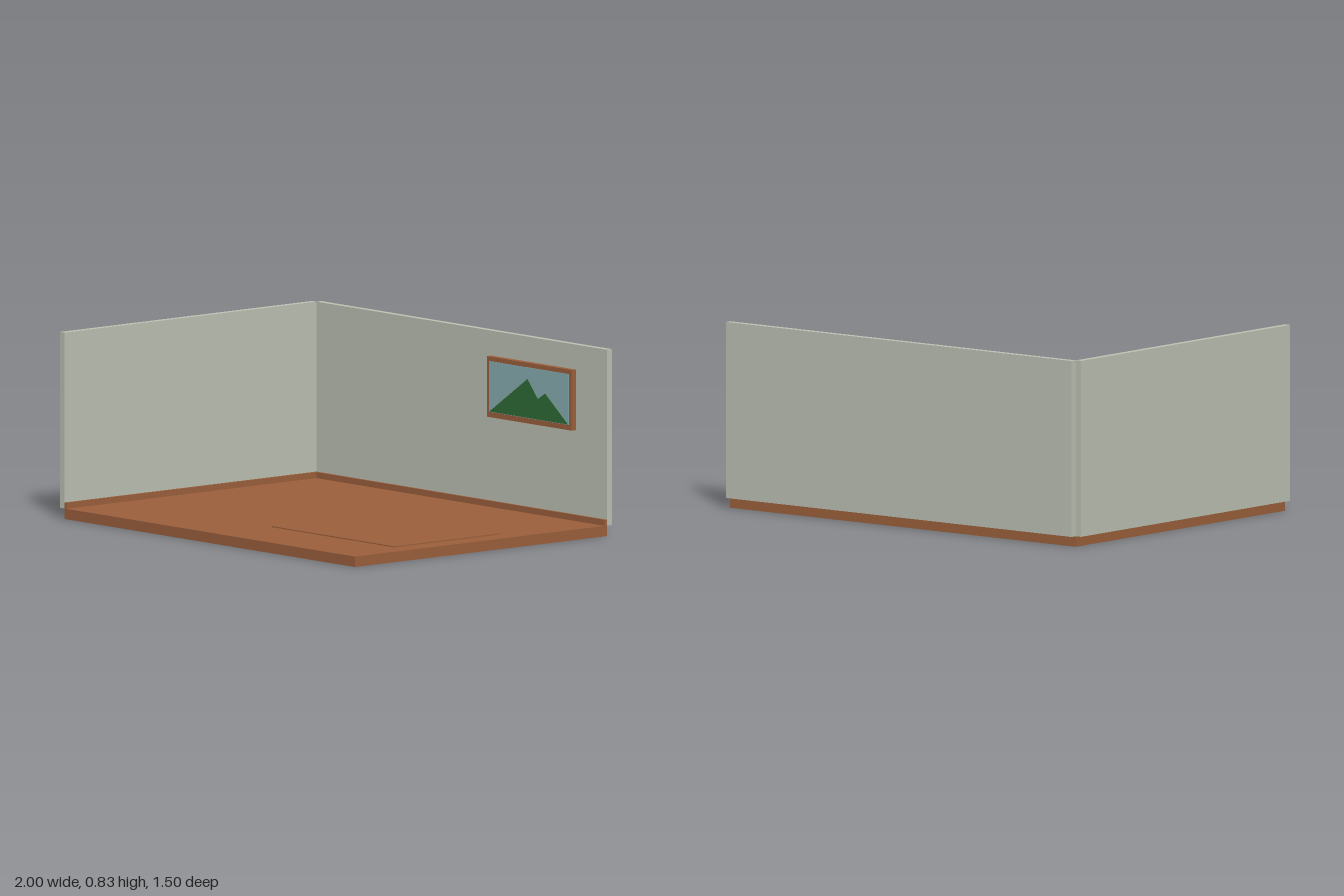
import * as THREE from 'three';

const material = (name, color) => {
  const m = new THREE.MeshStandardMaterial({ color });
  m.name = name;
  return m;
};

export function createModel() {
  const room = new THREE.Group();
  room.name = 'room';
  const wood = material('wood', 0x9b5f3b);
  const plaster = material('plaster', 0xbcc0b2);
  const sky = material('sky', 0x87adb1);
  const green = material('mountain green', 0x2e6b36);

  // Box given by its minimum and maximum on each axis
  const box = (name, mat, [x0, x1], [y0, y1], [z0, z1], parent = room) => {
    const mesh = new THREE.Mesh(new THREE.BoxGeometry(x1 - x0, y1 - y0, z1 - z0), mat);
    mesh.position.set((x0 + x1) / 2, (y0 + y1) / 2, (z0 + z1) / 2);
    mesh.name = name;
    parent.add(mesh);
  };

  // Floor with a thin raised mat
  box('floor', wood, [-0.97, 1], [0, 0.047], [-0.722, 0.75]);
  box('floorMat', wood, [0.07, 0.9], [0.047, 0.052], [-0.18, 0.433]);

  // Two walls and their baseboards
  const wallY = [0.047, 0.834];
  const baseY = [0.047, 0.074];
  box('sideWall', plaster, [-1, -0.97], wallY, [-0.722, 0.75]);
  box('backWall', plaster, [-0.97, 1], wallY, [-0.752, -0.722]);
  box('sideBaseboard', wood, [-0.97, -0.957], baseY, [-0.722, 0.75]);
  box('backBaseboard', wood, [-0.957, 1], baseY, [-0.722, -0.71]);

  // Framed landscape on the back wall
  const picture = new THREE.Group();
  picture.name = 'picture';
  room.add(picture);
  box('frame', wood, [0.225, 0.8], [0.453, 0.724], [-0.715, -0.689], picture);
  box('skyPanel', sky, [0.243, 0.783], [0.477, 0.704], [-0.689, -0.686], picture);

  const ridge = [[0.247, 0.479], [0.779, 0.479], [0.625, 0.6], [0.575, 0.57], [0.505, 0.652]];
  const shape = new THREE.Shape(ridge.map(([x, y]) => new THREE.Vector2(x, y)));
  const mountains = new THREE.Mesh(
    new THREE.ExtrudeGeometry(shape, { depth: 0.002, bevelEnabled: false }), green);
  mountains.position.z = -0.686;
  mountains.name = 'mountains';
  picture.add(mountains);

  return room;
}
